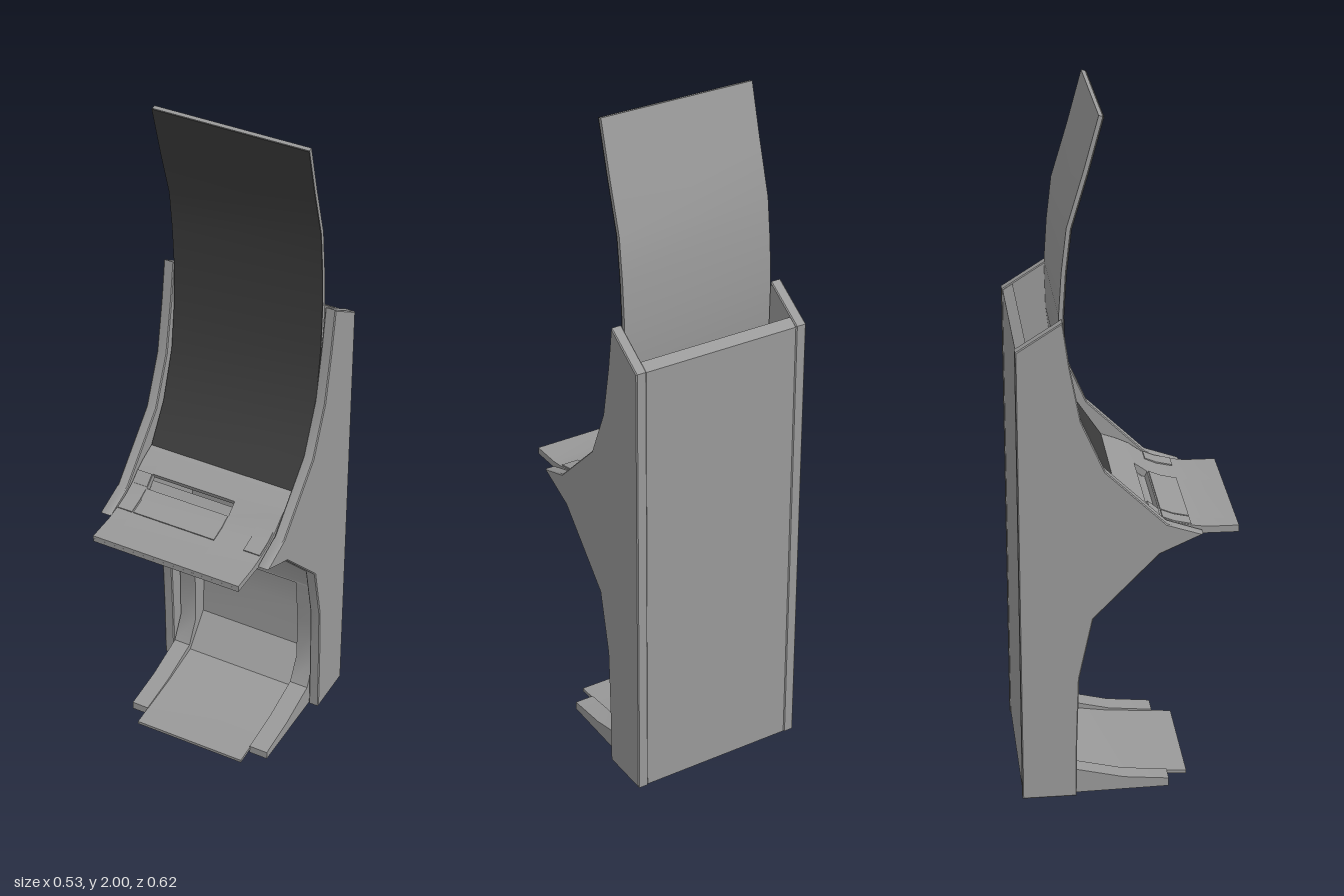
import * as THREE from 'three';
import { toCreasedNormals } from 'three/addons/utils/BufferGeometryUtils.js';

const body = new THREE.MeshStandardMaterial({ color: 0x999999, side: THREE.DoubleSide });
const dark = new THREE.MeshStandardMaterial({ color: 0x3d3d3d, side: THREE.DoubleSide });

// Closed outline of [z, y] points, extruded across x from x0 to x1
function slab(name, outline, x0, x1, { bevel = 0, material = body } = {}) {
  const shape = new THREE.Shape(outline.map(([z, y]) => new THREE.Vector2(z, y)));
  const geometry = new THREE.ExtrudeGeometry(shape, {
    depth: x1 - x0 - 2 * bevel,
    bevelEnabled: bevel > 0,
    bevelThickness: bevel,
    bevelSize: bevel,
    bevelOffset: -bevel,
    bevelSegments: 1,
  });
  geometry.rotateY(-Math.PI / 2);
  geometry.translate(x1 - bevel, 0, 0);
  const mesh = new THREE.Mesh(toCreasedNormals(geometry, 0.5), material);
  mesh.name = name;
  return mesh;
}

// Path moved sideways by t, to the right of its direction of travel
function offset(path, t) {
  return path.map(([z, y], i) => {
    const a = path[Math.max(i - 1, 0)];
    const b = path[Math.min(i + 1, path.length - 1)];
    const dz = b[0] - a[0], dy = b[1] - a[1], l = Math.hypot(dz, dy);
    return [z + (t * dy) / l, y - (t * dz) / l];
  });
}

// Sheet of thickness t that follows a path of [z, y] points
function sheet(name, path, t, x0, x1, options) {
  return slab(name, [...path, ...offset(path, t).reverse()], x0, x1, options);
}

export function createModel() {
  const model = new THREE.Group();
  const W = 0.23;

  // Side panels
  const side = [
    [-0.305, 0.01], [-0.15, 0.01], [-0.147, 0.2], [-0.14, 0.39], [-0.1, 0.575],
    [0.085, 0.765], [0.205, 0.82], [0.105, 0.855], [-0.065, 1.02], [-0.13, 1.17],
    [-0.16, 1.33], [-0.178, 1.455], [-0.305, 1.375],
  ];
  model.add(slab('leftSidePanel', side, 0.235, 0.267, { bevel: 0.003 }));
  model.add(slab('rightSidePanel', side, -0.267, -0.235, { bevel: 0.003 }));

  // Back panel
  model.add(slab('backPanel', [[-0.302, 0.01], [-0.274, 0.01], [-0.274, 1.39], [-0.302, 1.372]], -0.24, 0.24));

  // Tall curved display: dark screen on a grey backing
  const display = [
    [-0.062, 2], [-0.103, 1.85], [-0.148, 1.7], [-0.162, 1.58], [-0.17, 1.46],
    [-0.167, 1.32], [-0.15, 1.18], [-0.098, 1.03], [-0.025, 0.92],
  ];
  model.add(sheet('displayScreen', display, 0.005, -W, W, { material: dark }));
  model.add(sheet('displayBacking', offset(display, 0.005), 0.01, -W, W));

  // Console flowing into the shelf, with a slot sunk into its middle part
  const upper = [[-0.025, 0.92], [0.02, 0.904], [0.055, 0.887]];
  const shelf = [[0.092, 0.86], [0.13, 0.843], [0.178, 0.832], [0.22, 0.826], [0.31, 0.825]];
  const slot = [[0.056, 0.865], [0.075, 0.846], [0.091, 0.843]];
  model.add(sheet('consoleRight', [...upper, ...shelf], 0.02, -W, -0.18));
  model.add(sheet('consoleMiddleUpper', upper, 0.02, -0.18, 0.083));
  model.add(sheet('slotFloor', slot, 0.006, -0.18, 0.083));
  model.add(sheet('consoleMiddleShelf', shelf, 0.02, -0.18, 0.083));
  model.add(sheet('consoleLeft', [...upper, ...shelf], 0.02, 0.083, W));

  // Slightly raised plates on the console
  const pad = [[0.097, 0.861], [0.13, 0.847], [0.177, 0.836]];
  model.add(sheet('keyPlate', pad, 0.008, -0.176, 0.082));
  model.add(sheet('rightPad', pad, 0.008, -0.228, -0.181));
  model.add(sheet('leftPad', pad, 0.008, 0.175, 0.226));
  model.add(sheet('upperRightPad', [[0.06, 0.89], [0.09, 0.865]], 0.008, -0.228, -0.181));

  // Curved underside below the shelf
  const underside = [
    [0.31, 0.806], [0.2, 0.806], [0.07, 0.772], [-0.04, 0.685], [-0.125, 0.605], [-0.155, 0.53], [-0.168, 0.46],
  ];
  model.add(sheet('underside', underside, 0.01, -W, W));

  // Niche ceiling
  model.add(slab('nicheCeiling', [[-0.168, 0.455], [-0.168, 0.465], [-0.252, 0.465], [-0.252, 0.455]], -W, W));

  // Niche frame strips that run out into short feet
  const strip = [
    [-0.168, 0.46], [-0.185, 0.3], [-0.185, 0.15], [-0.145, 0.075], [-0.01, 0.042], [0.12, 0.029],
    [0.12, 0.004], [-0.15, 0], [-0.272, 0], [-0.272, 0.46],
  ];
  model.add(slab('leftNicheStrip', strip, 0.172, W));
  model.add(slab('rightNicheStrip', strip, -W, -0.178));

  // Recessed niche back curving forward into the projecting tray
  const niche = [
    [-0.225, 0.456], [-0.238, 0.38], [-0.242, 0.3], [-0.235, 0.15],
    [-0.15, 0.055], [-0.01, 0.034], [0.178, 0.021],
  ];
  model.add(sheet('nicheTray', niche, 0.01, -0.179, 0.173));

  return model;
}
